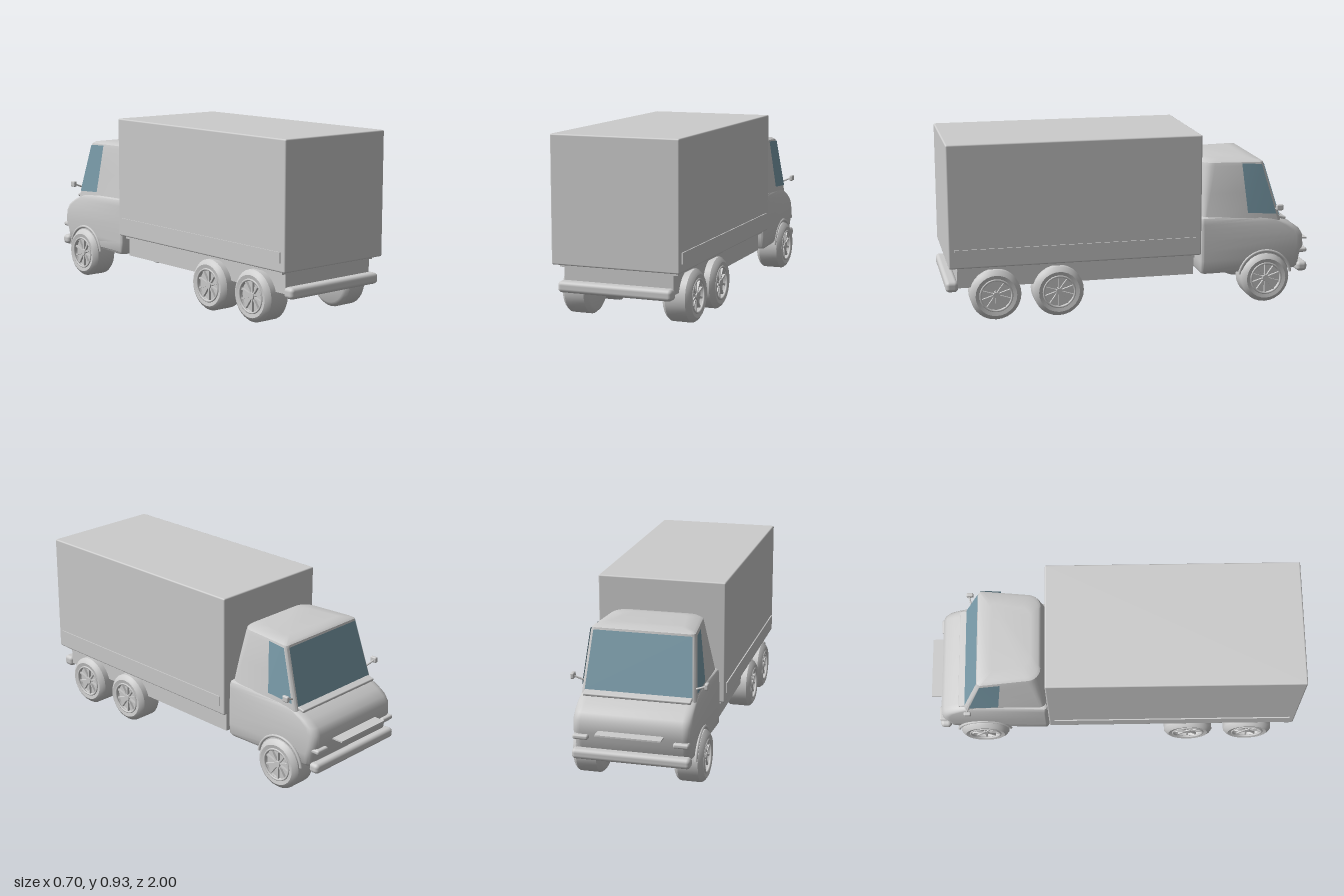
import * as THREE from 'three';
import { toCreasedNormals } from 'three/addons/utils/BufferGeometryUtils.js';
import { RoundedBoxGeometry } from 'three/addons/geometries/RoundedBoxGeometry.js';

const grey = new THREE.MeshStandardMaterial({ color: 0xcccccc });
const glass = new THREE.MeshStandardMaterial({ color: 0x7a9caa, side: THREE.DoubleSide });

function add(parent, name, geometry, material = grey) {
  const mesh = new THREE.Mesh(geometry, material);
  mesh.name = name;
  parent.add(mesh);
  return mesh;
}

// Box given by its limits on each axis, optionally rounded
function block(parent, name, [x0, x1], [y0, y1], [z0, z1], r = 0) {
  const size = [x1 - x0, y1 - y0, z1 - z0];
  const geo = r ? new RoundedBoxGeometry(...size, 3, r) : new THREE.BoxGeometry(...size);
  const mesh = add(parent, name, geo);
  mesh.position.set((x0 + x1) / 2, (y0 + y1) / 2, (z0 + z1) / 2);
  return mesh;
}

// Horizontal rounded outline: half widths at front and back, z limits, corner radii
function ring({ y, hf, hb, back, front, rf, rb }) {
  const corners = [[hf - rf, front + rf, rf], [rf - hf, front + rf, rf], [rb - hb, back - rb, rb], [hb - rb, back - rb, rb]];
  const pts = [];
  corners.forEach(([cx, cz, r], q) => {
    for (let k = 0; k <= 6; k++) {
      const t = (q + k / 6) * Math.PI / 2;
      pts.push([cx + r * Math.cos(t), y, cz - r * Math.sin(t)]);
    }
  });
  return pts;
}

// Closed skin through a stack of outlines, bottom to top
function loft(sections, crease) {
  const rings = sections.map(ring);
  const n = rings[0].length;
  const index = [];
  for (let j = 0; j < rings.length - 1; j++) {
    for (let i = 0; i < n; i++) {
      const a = j * n + i, b = j * n + (i + 1) % n;
      index.push(a, b, b + n, a, b + n, a + n);
    }
  }
  const top = (rings.length - 1) * n;
  for (let i = 1; i < n - 1; i++) index.push(0, i + 1, i, top, top + i, top + i + 1);
  const geo = new THREE.BufferGeometry();
  geo.setAttribute('position', new THREE.Float32BufferAttribute(rings.flat(2), 3));
  geo.setIndex(index);
  return toCreasedNormals(geo, crease);
}

function quad(a, b, c, d) {
  const geo = new THREE.BufferGeometry();
  geo.setAttribute('position', new THREE.Float32BufferAttribute([a, b, c, d].flat(), 3));
  geo.setIndex([0, 1, 2, 0, 2, 3]);
  geo.computeVertexNormals();
  return geo;
}

function rod(parent, name, from, to, r) {
  const path = new THREE.LineCurve3(new THREE.Vector3(...from), new THREE.Vector3(...to));
  return add(parent, name, new THREE.TubeGeometry(path, 1, r, 8));
}

// Wheel with its outer face towards +x
function wheel() {
  const g = new THREE.Group();
  const profile = [[0, -.075], [.108, -.075], [.122, -.066], [.133, -.052], [.133, .052], [.122, .066],
    [.108, .075], [.088, .071], [.082, .05], [0, .05]].map(p => new THREE.Vector2(...p));
  add(g, 'tyre', toCreasedNormals(new THREE.LatheGeometry(profile, 28), 0.6)).rotation.z = -Math.PI / 2;
  const rim = add(g, 'rim', new THREE.TorusGeometry(.083, .006, 8, 28));
  rim.rotation.y = Math.PI / 2;
  rim.position.x = .07;
  const hub = add(g, 'hub', new THREE.CylinderGeometry(.017, .022, .02, 16));
  hub.rotation.z = -Math.PI / 2;
  hub.position.x = .058;
  for (let i = 0; i < 10; i++) {
    const t = i * Math.PI / 5;
    const spoke = add(g, 'spoke', new THREE.BoxGeometry(.014, .064, .009));
    spoke.position.set(.056, .05 * Math.cos(t), .05 * Math.sin(t));
    spoke.rotation.x = t;
  }
  return g;
}

export function createModel() {
  const truck = new THREE.Group();
  truck.name = 'truck';

  // Cargo body, side rails and chassis
  block(truck, 'cargoBox', [-.338, .338], [.285, .93], [-.35, .985], .008);
  block(truck, 'chassis', [-.29, .29], [.17, .287], [-.32, .94]);
  block(truck, 'subfloor', [-.313, .313], [.268, .288], [-.32, .94]);
  block(truck, 'rearBumper', [-.302, .302], [.15, .207], [.935, 1], .02);
  for (const s of [-1, 1]) {
    const rail = block(truck, 'sideRail', [-.005, .005], [.33, .385], [-.32, .955]);
    rail.position.x = s * .339;
  }

  // Cab lower body with sloping bonnet
  const cab = new THREE.Group();
  cab.name = 'cab';
  truck.add(cab);
  const lower = [
    [.17, .285, .305, -.365, -.905], [.185, .298, .314, -.357, -.915], [.24, .302, .315, -.355, -.922],
    [.29, .305, .315, -.355, -.94], [.35, .303, .315, -.355, -.938], [.385, .3, .314, -.355, -.918],
    [.415, .298, .313, -.355, -.875], [.44, .296, .312, -.355, -.825], [.46, .293, .311, -.355, -.77],
    [.473, .287, .307, -.357, -.7], [.48, .275, .295, -.365, -.58],
  ].map(([y, hf, hb, back, front]) => ({ y, hf, hb, back, front, rf: .045, rb: .02 }));
  add(cab, 'cabLowerBody', loft(lower, 0.7));

  // Cab upper body and crowned roof
  const upper = [
    [.44, .294, .303, -.36, -.806, .02, .03], [.6, .282, .272, -.366, -.757, .02, .05],
    [.742, .27, .247, -.376, -.713, .02, .07], [.76, .265, .242, -.379, -.71, .02, .07],
    [.769, .25, .228, -.39, -.697, .02, .07], [.775, .19, .17, -.43, -.65, .02, .07],
  ].map(([y, hf, hb, back, front, rf, rb]) => ({ y, hf, hb, back, front, rf, rb }));
  add(cab, 'cabUpperBody', loft(upper, 0.7));

  // Glazing laid just outside the upper body
  const frontZ = y => -.808 + (y - .44) * .308 - .002;
  const wx = y => .277 - (y - .44) * .08;
  const [lo, hi] = [.465, .75];
  add(cab, 'windscreen', quad([wx(lo), lo, frontZ(lo)], [-wx(lo), lo, frontZ(lo)],
    [-wx(hi), hi, frontZ(hi)], [wx(hi), hi, frontZ(hi)]), glass);
  const sideX = (y, z) => {
    const k = (y - .44) / .302;
    const t = (z + .37) / (-.345 - .075 * (1 - k));
    return THREE.MathUtils.lerp(.303 - .056 * k, .294 - .024 * k, t) + .005;
  };
  for (const s of [-1, 1]) {
    const corner = (y, z) => [s * sideX(y, z), y, z];
    add(cab, 'sideWindow', quad(corner(.49, -.618), corner(.48, -.777), corner(.75, -.697), corner(.755, -.59)), glass);

    // Mirror on its stalk
    rod(cab, 'mirrorStalk', [s * .28, .5, -.77], [s * .34, .525, -.785], .005);
    block(cab, 'mirror', [s * .342 - .01, s * .342 + .01], [.508, .54], [-.798, -.76], .007);

    // Corner lamps and wheel arch
    block(cab, 'cornerLamp', [s * .255 - .04, s * .255 + .04], [.255, .28], [-.957, -.9], .01);
    const arch = add(cab, 'wheelArch', new THREE.TorusGeometry(.145, .008, 8, 24, Math.PI * .9));
    arch.rotation.set(0, Math.PI / 2, Math.PI * .05);
    arch.position.set(s * .308, .135, -.715);

    // Wheels
    for (const z of [.745, .415, -.715]) {
      const w = wheel();
      w.name = z < 0 ? 'frontWheel' : 'rearWheel';
      w.position.set(s * (z < 0 ? .262 : .271), .133, z);
      if (s < 0) w.rotation.y = Math.PI;
      truck.add(w);
    }
  }

  // Cowl under the windscreen, front shelf plate and bumper
  const cowl = block(cab, 'cowl', [-.275, .275], [.445, .461], [-.838, -.79], .006);
  cowl.rotation.x = -.25;
  block(cab, 'frontPlate', [-.167, .167], [.297, .305], [-1, -.9]);
  block(cab, 'frontBumper', [-.302, .302], [.15, .203], [-.96, -.9], .02);

  return truck;
}
